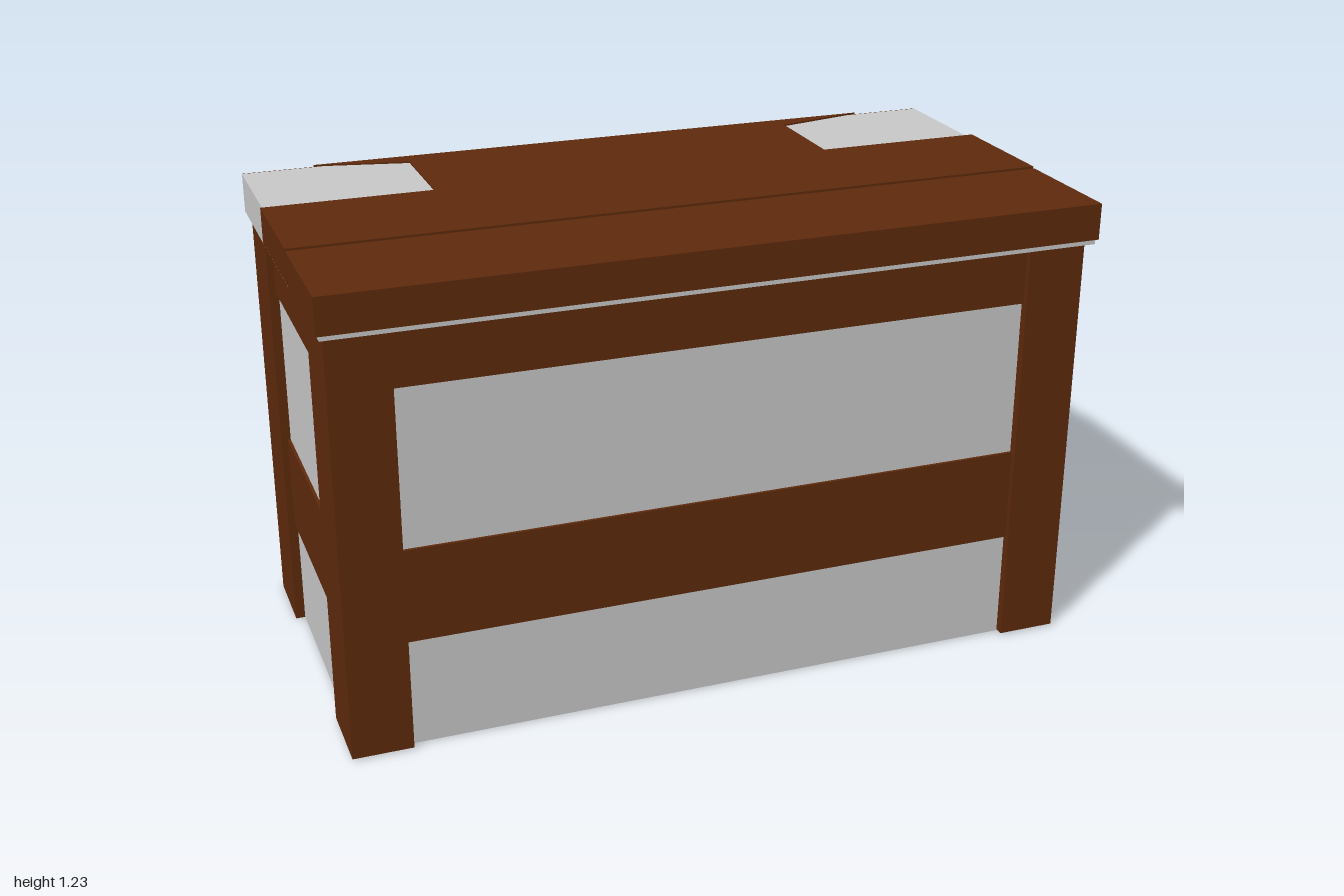
import * as THREE from 'three';

export function createModel() {
  const wood = new THREE.MeshStandardMaterial({ color: 0x5f2a0d });
  wood.name = 'brown wood';
  const grey = new THREE.MeshStandardMaterial({ color: 0xcacaca });
  grey.name = 'light grey';

  const model = new THREE.Group();
  model.name = 'desk';

  // Box given by its lower and upper limits on each axis
  const box = (name, mat, [x0, x1], [y0, y1], [z0, z1]) => {
    const mesh = new THREE.Mesh(new THREE.BoxGeometry(x1 - x0, y1 - y0, z1 - z0), mat);
    mesh.position.set((x0 + x1) / 2, (y0 + y1) / 2, (z0 + z1) / 2);
    mesh.name = name;
    model.add(mesh);
  };

  // Flat outline in x and z, extruded upwards between two heights
  const slab = (name, mat, points, y0, y1) => {
    const shape = new THREE.Shape(points.map(([x, z]) => new THREE.Vector2(x, -z)));
    const geo = new THREE.ExtrudeGeometry(shape, { depth: y1 - y0, bevelEnabled: false });
    geo.rotateX(-Math.PI / 2);
    const mesh = new THREE.Mesh(geo, mat);
    mesh.position.y = y0;
    mesh.name = name;
    model.add(mesh);
  };

  // Body: deep front block and two side walls around a knee space open at the back
  slab('body', grey, [
    [-0.955, -0.47], [-0.815, -0.47], [-0.815, 0], [0.815, 0],
    [0.815, -0.47], [0.955, -0.47], [0.955, 0.458], [-0.955, 0.458],
  ], 0.002, 1.12);

  // Corner legs
  for (const s of [-1, 1]) {
    const x = s > 0 ? [0.824, 0.98] : [-0.98, -0.824];
    box('frontLeg', wood, x, [0.005, 1.12], [0.28, 0.482]);
    box('backLeg', wood, x, [0, 1.12], [-0.478, -0.275]);
  }

  // Rails on the front and both sides
  for (const [name, y] of [['upper', [0.965, 1.12]], ['lower', [0.295, 0.545]]]) {
    box(name + 'FrontRail', wood, [-0.83, 0.83], y, [0.44, 0.466]);
    box(name + 'LeftRail', wood, [0.94, 0.963], y, [-0.28, 0.285]);
    box(name + 'RightRail', wood, [-0.963, -0.94], y, [-0.28, 0.285]);
  }

  // Beam under the top at the back
  box('backBeam', wood, [-0.814, 0.805], [1.0, 1.119], [-0.45, -0.3]);

  // Top board with planks
  box('topBoard', grey, [-0.992, 0.992], [1.12, 1.223], [-0.508, 0.511]);
  box('frontPlank', wood, [-1, 1], [1.132, 1.227], [0.179, 0.514]);
  box('middlePlank', wood, [-1, 1], [1.139, 1.231], [-0.168, 0.173]);
  box('backPlank', wood, [-0.99, 0.99], [1.132, 1.222], [-0.514, -0.18]);

  // Part of the back plank that rises above the top board
  slab('backPlankTop', wood, [
    [-0.55, -0.18], [-0.55, -0.458], [-0.8, -0.514],
    [0.8, -0.514], [0.55, -0.458], [0.55, -0.18],
  ], 1.22, 1.227);

  return model;
}
